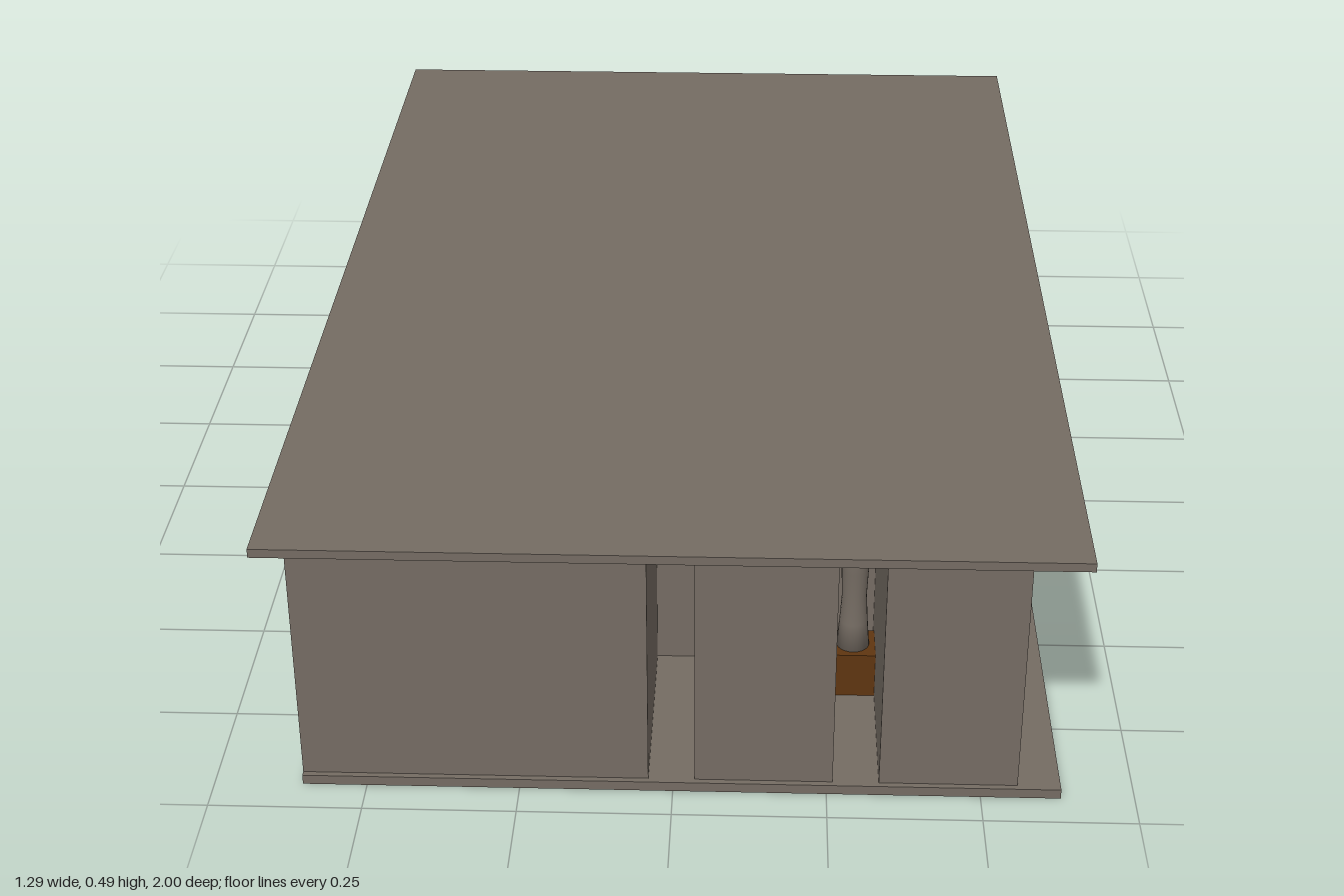
import * as THREE from 'three';

const stone = new THREE.MeshStandardMaterial({ color: 0x756c63 });
stone.name = 'stone';
const bronze = new THREE.MeshStandardMaterial({ color: 0x5f3510 });
bronze.name = 'bronze';

const WALL_TOP = 0.475;
const FLOOR_TOP = 0.018;

export function createModel() {
  const house = new THREE.Group();
  house.name = 'house';

  const add = (name, geometry, material = stone) => {
    const mesh = new THREE.Mesh(geometry, material);
    mesh.name = name;
    house.add(mesh);
    return mesh;
  };
  // Box given by its lower and upper limits on each axis
  const box = (name, [x0, x1], [y0, y1], [z0, z1], material) =>
    add(name, new THREE.BoxGeometry(x1 - x0, y1 - y0, z1 - z0), material)
      .position.set((x0 + x1) / 2, (y0 + y1) / 2, (z0 + z1) / 2);

  // Flat overhanging roof and floor slab
  box('roof', [-0.645, 0.645], [WALL_TOP, 0.49], [-1, 1]);
  box('floorSlab', [-0.605, 0.63], [0.001, FLOOR_TOP], [-0.94, 0.94]);

  // Walls: floor plan (x, z) with an entrance niche and recessed porches
  const plan = [
    [-0.605, 0.93], [-0.04, 0.93], [-0.04, 0.58], [0.335, 0.58], [0.335, 0.93],
    [0.56, 0.93], [0.56, 0.215], [0.45, 0.215], [0.45, -0.12], [0.64, -0.12],
    [0.64, -0.99], [0.145, -0.99], [0.145, -0.53], [-0.03, -0.53], [-0.03, -0.74],
    [-0.605, -0.74], [-0.605, -0.36], [-0.45, -0.36], [-0.45, 0.015], [-0.605, 0.015],
  ].map(([x, z]) => new THREE.Vector2(x, z));
  const walls = new THREE.ExtrudeGeometry(new THREE.Shape(plan), { depth: WALL_TOP, bevelEnabled: false });
  walls.rotateX(Math.PI / 2).translate(0, WALL_TOP, 0);
  add('walls', walls);

  // Free-standing screens in front of the niches
  box('frontScreen', [0.035, 0.26], [FLOOR_TOP, WALL_TOP], [0.895, 0.93]);
  box('sideScreen', [-0.605, -0.57], [FLOOR_TOP, WALL_TOP], [-0.35, -0.06]);

  // Pair of posts standing out from the side wall
  for (const z of [-0.455, -0.35]) {
    box('sidePost', [-0.645, -0.6], [0, WALL_TOP], [z - 0.018, z + 0.018]);
  }

  // Ornament on a pedestal in the entrance niche
  const x = 0.297, z = 0.65;
  box('pedestal', [x - 0.038, x + 0.038], [FLOOR_TOP, 0.1], [z - 0.038, z + 0.038], bronze);
  const profile = [[0, 0.1], [0.028, 0.1], [0.024, 0.15], [0.021, 0.2], [0.023, 0.25],
    [0.025, 0.285], [0.021, 0.32], [0.014, 0.342], [0, 0.342]];
  add('ornamentBody', new THREE.LatheGeometry(profile.map(p => new THREE.Vector2(...p)), 24))
    .position.set(x, 0, z);
  add('ornamentTip', new THREE.ConeGeometry(0.015, 0.02, 24), bronze).position.set(x, 0.352, z);

  return house;
}
